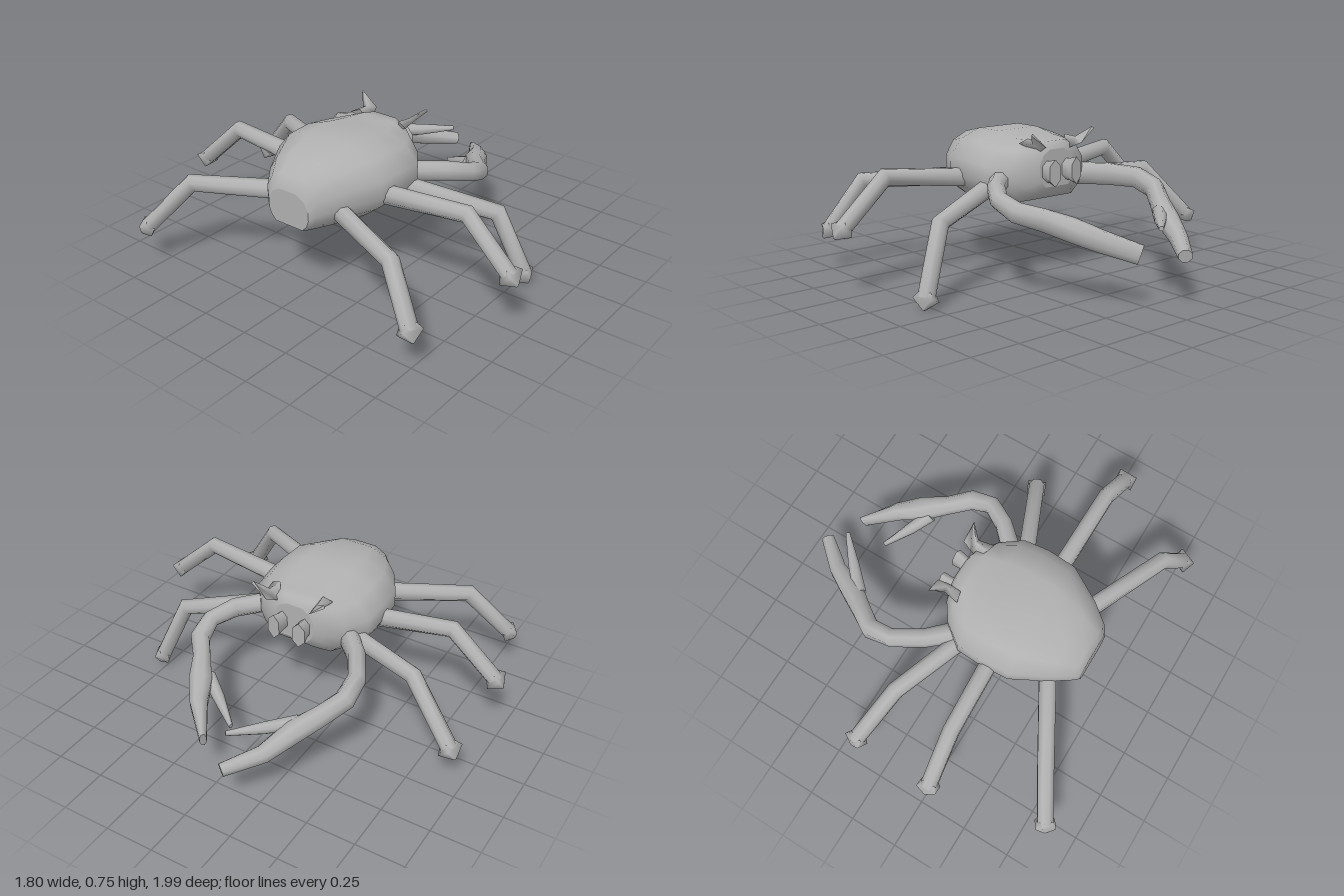
import * as THREE from 'three';

const shell = new THREE.MeshStandardMaterial({ color: 0xb0b0b0 });
shell.name = 'shell grey';
const V = (x, y, z) => new THREE.Vector3(x, y, z);

// Skin a list of equal-length rings and close both ends with flat caps.
function loft(name, rings) {
  const pos = [], index = [], n = rings[0].length;
  rings.forEach(r => r.forEach(p => pos.push(p.x, p.y, p.z)));
  for (let i = 0; i < rings.length - 1; i++) {
    for (let j = 0; j < n; j++) {
      const a = i * n + j, b = i * n + (j + 1) % n;
      index.push(a, a + n, b, b, a + n, b + n);
    }
  }
  [rings[0], rings[rings.length - 1]].forEach((ring, end) => {
    const base = pos.length / 3;
    const mid = ring.reduce((s, p) => s.add(p), V(0, 0, 0)).divideScalar(n);
    [...ring, mid].forEach(p => pos.push(p.x, p.y, p.z));
    for (let j = 0; j < n; j++) {
      const a = base + j, b = base + (j + 1) % n;
      if (end) index.push(base + n, b, a);
      else index.push(base + n, a, b);
    }
  });
  const g = new THREE.BufferGeometry();
  g.setAttribute('position', new THREE.Float32BufferAttribute(pos, 3));
  g.setIndex(index);
  g.computeVertexNormals();
  const mesh = new THREE.Mesh(g, shell);
  mesh.name = name;
  return mesh;
}

// Limb through stations [x, y, z, half width, half height].
function limb(name, stations, sides = 8) {
  const pts = stations.map(s => V(s[0], s[1], s[2]));
  const rings = stations.map((s, i) => {
    const before = pts[Math.max(i - 1, 0)], after = pts[Math.min(i + 1, pts.length - 1)];
    const dirA = pts[i].clone().sub(before).normalize();
    const dirB = after.clone().sub(pts[i]).normalize();
    const t = dirA.add(dirB).normalize();
    const side = t.clone().cross(V(0, 1, 0)).normalize();
    const up = side.clone().cross(t);
    return Array.from({ length: sides }, (_, k) => {
      const a = (k + 0.5) / sides * Math.PI * 2;
      return pts[i].clone()
        .addScaledVector(side, Math.cos(a) * s[3])
        .addScaledVector(up, Math.sin(a) * s[4]);
    });
  });
  return loft(name, rings);
}

// Jointed leg with an arrowhead foot.
function leg(name, root, knee, tip) {
  const g = new THREE.Group();
  g.name = name;
  const k = V(...knee), e = V(...tip), len = k.distanceTo(e);
  const at = d => k.clone().lerp(e, 1 - d / len).toArray();
  g.add(limb('legShaft', [
    [...root, 0.045, 0.05], [...knee, 0.042, 0.045], [...at(0.05), 0.042, 0.04],
  ]));
  g.add(limb('foot', [
    [...at(0.085), 0.04, 0.035], [...at(0.05), 0.07, 0.055], [...tip, 0.006, 0.006],
  ], 4));
  return g;
}

// Carapace: stations along x of [x, half width, bottom, top].
function carapace() {
  const half = [[0.68, 0], [0.9, 0.16], [1, 0.34], [1, 0.6], [0.78, 0.85], [0.4, 0.98]];
  const section = [...half, ...half.slice().reverse().map(([w, h]) => [-w, h])];
  const stations = [
    [-0.64, 0.12, 0.39, 0.57], [-0.615, 0.15, 0.39, 0.64], [-0.52, 0.22, 0.39, 0.69],
    [-0.35, 0.315, 0.39, 0.73], [-0.2, 0.325, 0.39, 0.73], [-0.07, 0.315, 0.39, 0.705],
    [0.03, 0.24, 0.4, 0.705], [0.085, 0.16, 0.44, 0.7], [0.105, 0.11, 0.47, 0.66],
  ];
  return loft('carapace', stations.map(([x, w, b, t]) =>
    section.map(([sw, sh]) => V(x, b + sh * (t - b), -0.035 + sw * w))));
}

export function createModel() {
  const model = new THREE.Group();
  model.name = 'crab';
  model.add(carapace());

  // Six walking legs
  const legs = [
    ['rearLegNear', [-0.47, 0.46, 0.1], [-0.69, 0.46, 0.59], [-0.78, 0.17, 0.78]],
    ['middleLegNear', [-0.28, 0.49, 0.2], [-0.29, 0.55, 0.71], [-0.3, 0.29, 0.99]],
    ['frontLegNear', [-0.12, 0.47, 0.2], [0.07, 0.38, 0.65], [0.14, 0.01, 0.8]],
    ['rearLegFar', [-0.47, 0.46, -0.17], [-0.71, 0.46, -0.6], [-0.86, 0.17, -0.83]],
    ['middleLegFar', [-0.23, 0.49, -0.28], [-0.26, 0.55, -0.71], [-0.28, 0.29, -0.99]],
    ['frontLegFar', [-0.07, 0.47, -0.25], [0.08, 0.48, -0.67], [0.18, 0.17, -0.96]],
  ];
  legs.forEach(l => model.add(leg(...l)));

  // Claw arms, each with a long outer finger and a short inner one
  const near = new THREE.Group(), far = new THREE.Group();
  near.name = 'nearClaw';
  far.name = 'farClaw';
  near.add(
    limb('arm', [
      [-0.05, 0.51, 0.2, 0.05, 0.05], [0.08, 0.5, 0.33, 0.045, 0.05],
      [0.19, 0.47, 0.4, 0.045, 0.045], [0.3, 0.43, 0.39, 0.05, 0.05],
      [0.4, 0.4, 0.31, 0.045, 0.055], [0.51, 0.365, 0.24, 0.06, 0.058],
      [0.62, 0.325, 0.175, 0.045, 0.055], [0.765, 0.265, 0.05, 0.018, 0.05]]),
    limb('innerFinger', [
      [0.46, 0.36, 0.23, 0.035, 0.04], [0.52, 0.31, 0.13, 0.028, 0.035],
      [0.605, 0.25, 0.005, 0.01, 0.02]]),
  );
  far.add(
    limb('arm', [
      [-0.02, 0.49, -0.27, 0.05, 0.06], [0.1, 0.49, -0.38, 0.045, 0.06],
      [0.24, 0.48, -0.46, 0.045, 0.055], [0.36, 0.44, -0.465, 0.05, 0.055],
      [0.46, 0.39, -0.4, 0.05, 0.055], [0.58, 0.345, -0.32, 0.06, 0.055],
      [0.72, 0.285, -0.25, 0.045, 0.045], [0.875, 0.25, -0.125, 0.035, 0.032]]),
    limb('innerFinger', [
      [0.53, 0.37, -0.32, 0.035, 0.035], [0.64, 0.365, -0.21, 0.03, 0.03],
      [0.765, 0.365, -0.08, 0.012, 0.012]]),
  );
  model.add(near, far);

  // Eye stalks and flared horns, mirrored about the body's centre line
  for (const s of [1, -1]) {
    const z = d => -0.032 + s * d;
    model.add(limb('eyeStalk', [
      [0.05, 0.55, z(0.06), 0.03, 0.05], [0.13, 0.55, z(0.065), 0.034, 0.055],
      [0.175, 0.55, z(0.07), 0.038, 0.068]], 6));
    const ring = [
      [V(0.02, 0.69, z(0.17)), V(0.03, 0.71, z(0.12)), V(0.07, 0.64, z(0.09))],
      [V(0.1, 0.69, z(0.155)), V(0.1, 0.705, z(0.13)), V(0.115, 0.66, z(0.1))],
      [V(0.155, 0.745, z(0.205)), V(0.15, 0.755, z(0.195)), V(0.16, 0.68, z(0.115))],
    ];
    // Keep faces outward on both sides
    model.add(loft('horn', s > 0 ? ring : ring.map(r => r.slice().reverse())));
  }
  return model;
}
